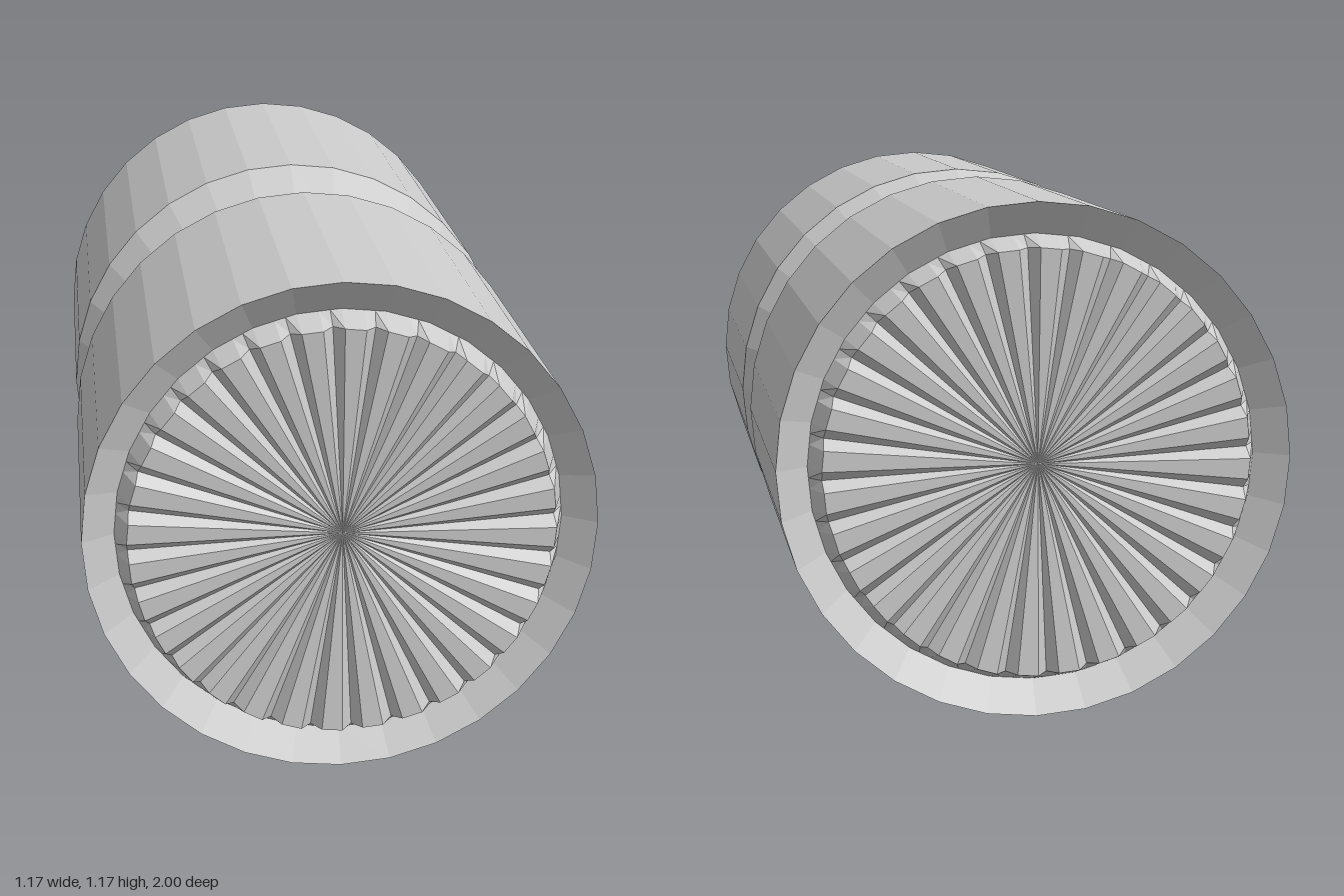
import * as THREE from 'three';

const SIDES = 32;
const R = 0.587;          // outer radius, also the height of the axis
const GROOVE_R = 0.513, GROOVE_Z = 0.93;
const LENS_R = 0.487;

// Radius of a regular SIDES-gon at a given angle
function polyRadius(r, a) {
  const step = (2 * Math.PI) / SIDES;
  const local = (a % step) - step / 2;
  return (r * Math.cos(step / 2)) / Math.cos(local);
}

// Serrated disc: a fan of flats and V notches, with a tapered skirt down to the groove
function ridgedDisc() {
  const perTooth = [1.0, 0.97, 1.0, 1.0];
  const n = SIDES * perTooth.length;
  const pos = [0, 0, 0.98], index = [];
  for (let i = 0; i < n; i++) {
    const a = (i / n) * 2 * Math.PI;
    const rim = polyRadius(LENS_R, a), base = polyRadius(GROOVE_R, a);
    pos.push(rim * Math.cos(a), rim * Math.sin(a), perTooth[i % perTooth.length]);
    pos.push(base * Math.cos(a), base * Math.sin(a), GROOVE_Z);
    const r0 = 1 + 2 * i, r1 = 1 + 2 * ((i + 1) % n);
    index.push(0, r0, r1, r0, r0 + 1, r1 + 1, r0, r1 + 1, r1);
  }
  const g = new THREE.BufferGeometry();
  g.setAttribute('position', new THREE.Float32BufferAttribute(pos, 3));
  g.setIndex(index);
  g.computeVertexNormals();
  return g;
}

export function createModel() {
  const group = new THREE.Group();
  const material = new THREE.MeshStandardMaterial({ color: 0xcccccc, flatShading: true });

  // Cylindrical body with a V-shaped waist and bevelled, recessed rims
  const profile = [
    [GROOVE_R, -GROOVE_Z], [R, -0.98], [R, -0.155], [0.487, 0],
    [R, 0.155], [R, 0.98], [GROOVE_R, GROOVE_Z],
  ].map(([r, z]) => new THREE.Vector2(r, z));
  const body = new THREE.Mesh(new THREE.LatheGeometry(profile, SIDES).rotateX(Math.PI / 2), material);
  body.name = 'body';
  body.position.y = R;
  group.add(body);

  // Ridged discs closing both ends
  const discGeometry = ridgedDisc();
  for (const [name, turn] of [['frontRidgedDisc', 0], ['backRidgedDisc', Math.PI]]) {
    const disc = new THREE.Mesh(discGeometry, material);
    disc.name = name;
    disc.position.y = R;
    disc.rotation.y = turn;
    group.add(disc);
  }
  return group;
}
